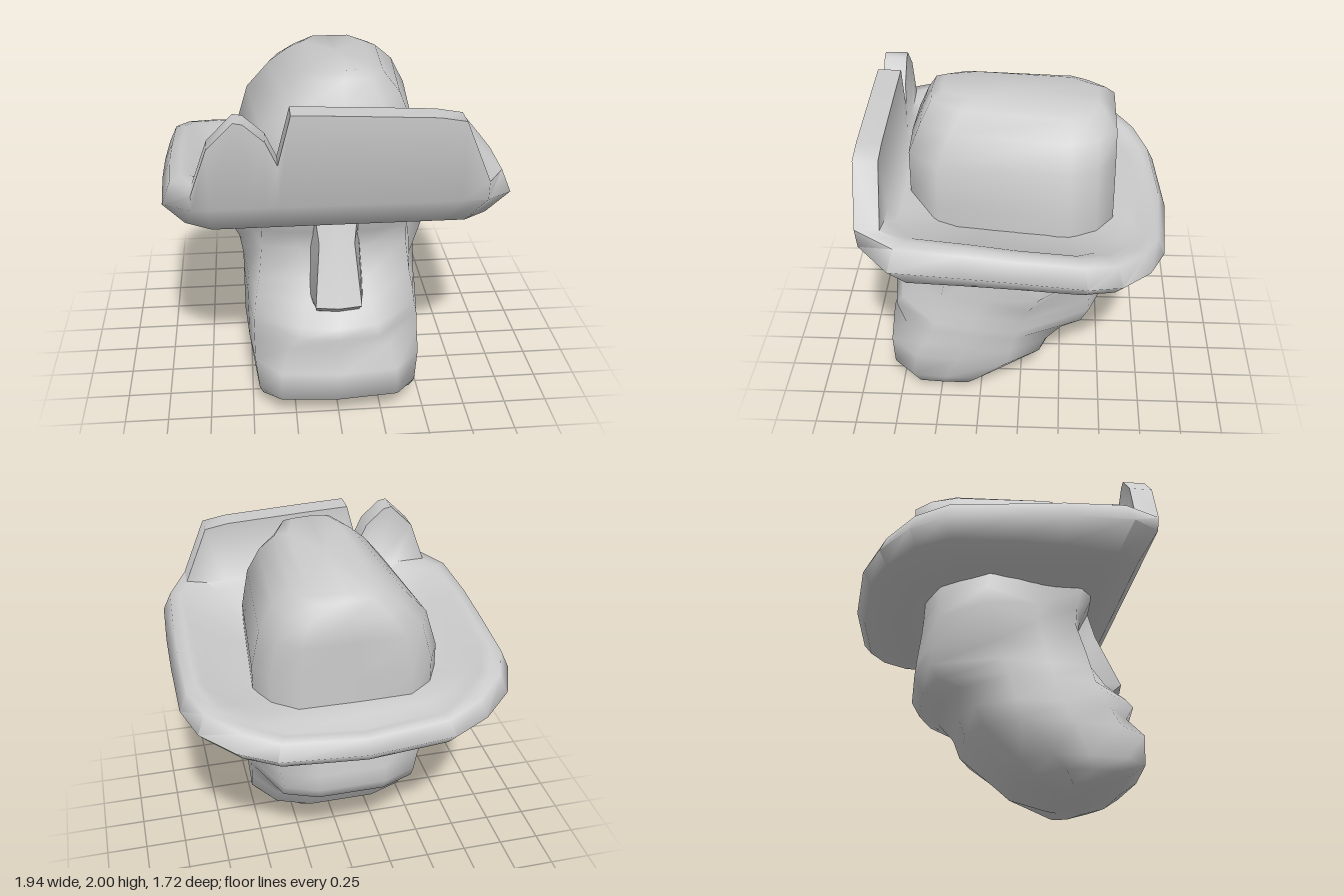
import * as THREE from 'three';
import { toCreasedNormals } from 'three/addons/utils/BufferGeometryUtils.js';

const material = new THREE.MeshStandardMaterial({ color: 0xcccccc });

// Full ring from a half outline that runs front centre -> left side -> back centre
function mirrorRing(half) {
  const other = half.slice(1, -1).reverse().map(([x, y, z]) => [-x, y, z]);
  return [...half, ...other];
}

// Skin through rings; a ring with one point closes the end as a fan
function loft(rings, crease) {
  const n = Math.max(...rings.map((r) => r.length));
  const pos = [];
  const at = (r, i) => r[i % r.length];
  const tri = (a, b, c) => {
    if (a !== b && b !== c && a !== c) pos.push(...a, ...b, ...c);
  };
  for (let k = 0; k < rings.length - 1; k++) {
    const lo = rings[k], hi = rings[k + 1];
    for (let i = 0; i < n; i++) {
      tri(at(lo, i), at(lo, i + 1), at(hi, i + 1));
      tri(at(lo, i), at(hi, i + 1), at(hi, i));
    }
  }
  const g = new THREE.BufferGeometry();
  g.setAttribute('position', new THREE.Float32BufferAttribute(pos, 3));
  return toCreasedNormals(g, crease);
}

function part(name, geometry) {
  const m = new THREE.Mesh(geometry, material);
  m.name = name;
  return m;
}

// Head: y, front x/z, cheek x/z, temple x/z, side x/z, back x, back z
function headGeometry() {
  const levels = [
    [0.01, 0.25, 0.57, 0.36, 0.48, 0.38, 0.43, 0.38, 0.38, 0.24, 0.32],
    [0.07, 0.32, 0.73, 0.44, 0.63, 0.45, 0.48, 0.45, 0.33, 0.30, 0.10],
    [0.14, 0.34, 0.83, 0.46, 0.67, 0.48, 0.46, 0.48, 0.26, 0.34, 0.02],
    [0.32, 0.33, 0.84, 0.48, 0.64, 0.51, 0.38, 0.53, 0.08, 0.40, -0.20],
    [0.43, 0.29, 0.75, 0.48, 0.58, 0.51, 0.33, 0.53, 0.05, 0.41, -0.24],
    [0.53, 0.23, 0.81, 0.48, 0.54, 0.51, 0.30, 0.53, 0.03, 0.41, -0.33],
    [0.58, 0.22, 0.77, 0.47, 0.51, 0.51, 0.28, 0.53, 0.01, 0.40, -0.45],
    [0.67, 0.20, 0.66, 0.46, 0.49, 0.50, 0.26, 0.53, -0.02, 0.40, -0.50],
    [0.77, 0.18, 0.55, 0.44, 0.47, 0.48, 0.23, 0.55, -0.06, 0.42, -0.49],
    [0.95, 0.20, 0.49, 0.42, 0.42, 0.47, 0.20, 0.66, -0.12, 0.44, -0.465],
    [1.06, 0.25, 0.51, 0.42, 0.43, 0.46, 0.20, 0.63, -0.12, 0.43, -0.455],
    [1.18, 0.30, 0.57, 0.42, 0.46, 0.46, 0.22, 0.59, -0.10, 0.41, -0.45],
    [1.30, 0.30, 0.57, 0.42, 0.46, 0.46, 0.22, 0.50, -0.10, 0.38, -0.44],
  ];
  const rings = levels.map(([y, xf, zf, xc, zc, xt, zt, xs, zs, xb, zb]) => mirrorRing([
    [0, y, zf], [xf, y, zf - 0.03], [xc, y, zc], [xt, y, zt], [xs, y, zs],
    [xb, y, zb + 0.08], [0.2, y, zb], [0, y, zb],
  ]));
  return loft([[[0, 0, 0.45]], ...rings, [[0, 1.30, 0]]], Math.PI);
}

// Nose: wedge that grows towards its tip; y, half width, front z
function noseGeometry() {
  const levels = [[0.65, 0.12, 0.69], [0.71, 0.13, 0.76], [1.04, 0.10, 0.62], [1.2, 0.12, 0.57]];
  const rings = levels.map(([y, w, z]) => mirrorRing([
    [0, y, z], [w, y, z - 0.02], [w + 0.04, y, 0.44], [0, y, 0.42],
  ]));
  return loft([[[0, 0.62, 0.55]], ...rings, [[0, 1.2, 0.5]]], 1.0);
}

// Crown: y, half width, sideways shift, front z, back z, tilt towards the back
function crownGeometry() {
  const levels = [
    [1.25, 0.54, 0, 0.63, -0.53, 0],
    [1.45, 0.54, 0, 0.63, -0.53, 0],
    [1.68, 0.48, 0.01, 0.63, -0.53, 0],
    [1.84, 0.37, 0.04, 0.56, -0.53, 0.02],
    [1.935, 0.26, 0.05, 0.50, -0.47, 0.06],
    [1.97, 0.18, 0.05, 0.44, -0.43, 0.07],
  ];
  const rings = levels.map(([y, w, shift, zf, zb, tilt]) => mirrorRing([
    [0, zf], [0.55 * w, zf - 0.01], [0.88 * w, zf - 0.18], [w, -0.28],
    [0.86 * w, zb + 0.1], [0.6 * w, zb], [0, zb],
  ].map(([x, z]) => [x, y + tilt * z, z])).map(([x, ry, z]) => [x + shift, ry, z]));
  return loft([...rings, [[0.05, 1.975, 0]]], 1.3);
}

// Brim: one rolled sheet whose front is folded upright, with a torn notch on the right
function brimGeometry() {
  // Fold: x, top y, from right to left
  const fold = [
    [-0.78, 1.49], [-0.69, 1.74], [-0.55, 1.88], [-0.5, 1.87], [-0.39, 1.77], [-0.33, 1.64],
    [-0.26, 1.91], [0, 1.9], [0.5, 1.875], [0.64, 1.85], [0.78, 1.51],
  ].map(([x, top]) => ({ x, z: 0.845, edge: 1.4, top, fold: true }));
  // Side: x, z, outer edge y, rim y, from front to back
  const side = [
    [0.945, 0.67, 1.36, 1.48], [0.965, 0.3, 1.35, 1.46],
    [0.97, 0, 1.33, 1.43], [0.965, -0.38, 1.29, 1.40], [0.89, -0.57, 1.25, 1.36],
    [0.71, -0.73, 1.21, 1.31], [0.5, -0.82, 1.18, 1.27], [0, -0.86, 1.17, 1.25],
  ].map(([x, z, edge, top]) => ({ x, z, edge, top, fold: false }));
  const otherSide = side.slice(0, -1).reverse().map((p) => ({ ...p, x: -p.x }));
  const outline = [...fold, ...side, ...otherSide];

  const ring = (sOf, yOf) => outline.map((p) => [p.x * sOf(p), yOf(p), p.z * sOf(p)]);
  const rim = (foldZ, s, lift) => outline.map((p) => (p.fold
    ? [p.x, p.top, foldZ]
    : [p.x * s, p.top + lift, p.z * s]));
  return loft([
    ring(() => 0.45, () => 1.18),
    ring(() => 0.70, (p) => 1.165 + 0.07 * p.z),
    ring((p) => 0.91 - 0.04 * p.z, (p) => p.edge - 0.115 - 0.06 * p.z),
    ring(() => 1, (p) => p.edge),
    rim(0.855, 0.95, 0),
    rim(0.72, 0.89, 0.01),
    ring(() => 0.845, (p) => (p.fold ? 1.49 : p.top)),
    ring(() => 0.77, (p) => 1.38 + 0.09 * p.z),
    ring(() => 0.5, (p) => 1.31 + 0.02 * p.z),
  ], 1.2);
}

export function createModel() {
  const model = new THREE.Group();
  model.name = 'headWithHat';

  const head = new THREE.Group();
  head.name = 'head';
  head.add(part('face', headGeometry()), part('nose', noseGeometry()));

  const hat = new THREE.Group();
  hat.name = 'hat';
  hat.add(part('crown', crownGeometry()), part('brim', brimGeometry()));

  model.add(head, hat);
  return model;
}
